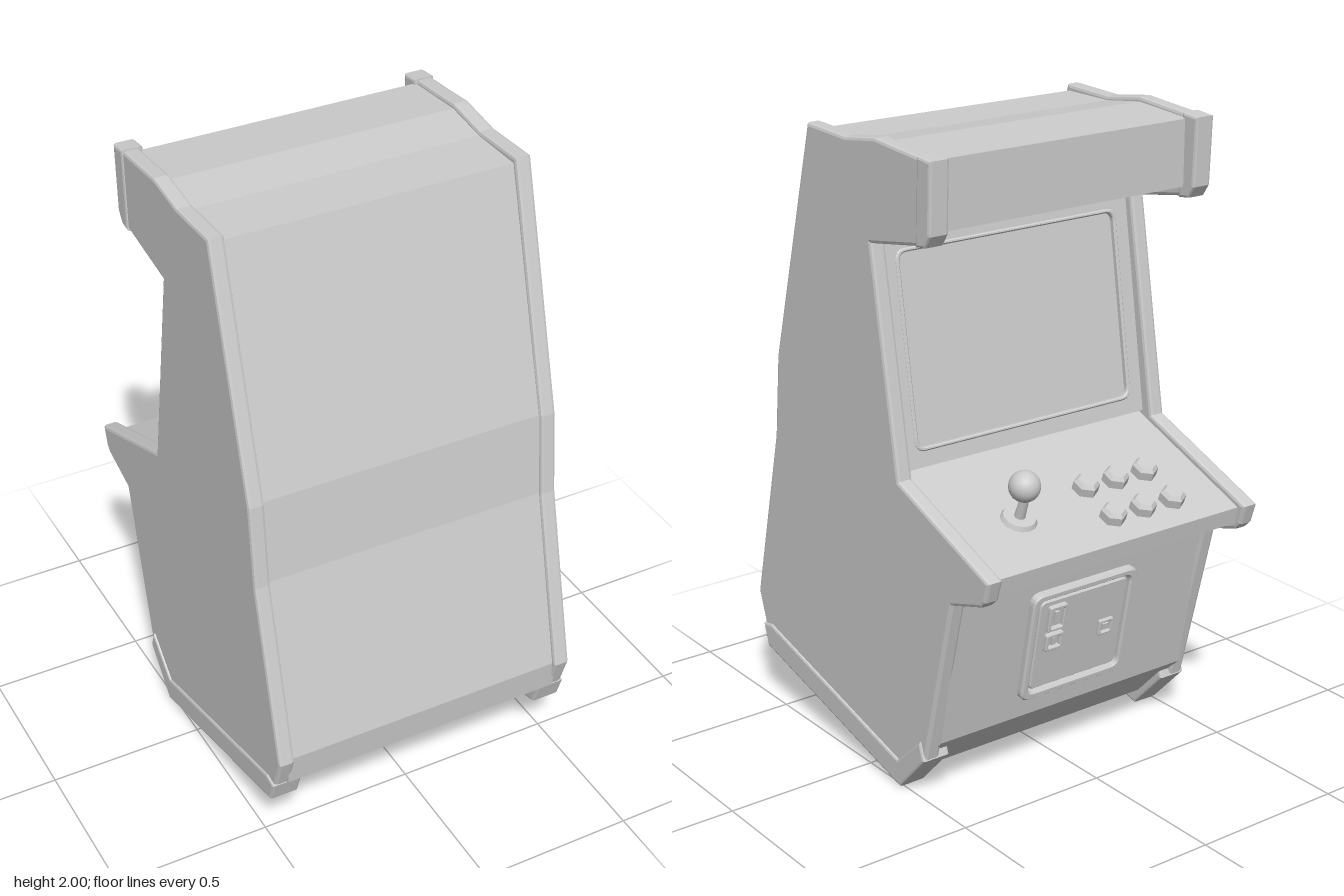
import * as THREE from 'three';

const grey = new THREE.MeshStandardMaterial({ color: 0xcccccc });

function add(parent, name, geometry, x = 0, y = 0, z = 0) {
  const mesh = new THREE.Mesh(geometry, grey);
  mesh.name = name;
  mesh.position.set(x, y, z);
  parent.add(mesh);
  return mesh;
}

// Extrudes a [z, y] side profile across x, centred on x = 0
function slab(points, width, bevel) {
  const shape = new THREE.Shape(points.map(([z, y]) => new THREE.Vector2(z, y)));
  const depth = width - 2 * bevel;
  const geo = new THREE.ExtrudeGeometry(shape, {
    depth, bevelEnabled: bevel > 0, bevelSize: bevel, bevelThickness: bevel,
    bevelOffset: -bevel, bevelSegments: 2,
  });
  return geo.translate(0, 0, -depth / 2).rotateY(-Math.PI / 2);
}

// Group lying on a sloped face between two [z, y] points: +y runs up the slope, +z points outward
function slopeFrame(parent, name, low, high) {
  const group = new THREE.Group();
  group.name = name;
  const right = new THREE.Vector3(-1, 0, 0);
  const up = new THREE.Vector3(0, high[1] - low[1], high[0] - low[0]).normalize();
  const out = right.clone().cross(up);
  group.quaternion.setFromRotationMatrix(new THREE.Matrix4().makeBasis(right, up, out));
  group.position.set(0, (low[1] + high[1]) / 2, (low[0] + high[0]) / 2);
  parent.add(group);
  return group;
}

function roundRect(path, w, h, r) {
  const x = w / 2, y = h / 2;
  path.moveTo(-x + r, -y);
  path.lineTo(x - r, -y).quadraticCurveTo(x, -y, x, -y + r);
  path.lineTo(x, y - r).quadraticCurveTo(x, y, x - r, y);
  path.lineTo(-x + r, y).quadraticCurveTo(-x, y, -x, y - r);
  path.lineTo(-x, -y + r).quadraticCurveTo(-x, -y, -x + r, -y);
  return path;
}

// Rounded plate, with an optional rounded opening [w, h, r]
function plate(w, h, r, depth, bevel, hole) {
  const shape = roundRect(new THREE.Shape(), w, h, r);
  if (hole) shape.holes.push(roundRect(new THREE.Path(), ...hole));
  return new THREE.ExtrudeGeometry(shape, {
    depth: depth - bevel, bevelEnabled: bevel > 0, bevelSize: bevel,
    bevelThickness: bevel, bevelOffset: -bevel, bevelSegments: 1, curveSegments: 5,
  });
}

export function createModel() {
  const cabinet = new THREE.Group();
  cabinet.name = 'arcadeCabinet';

  // Side panels
  const panelProfile = [
    [0.25, 1.985], [0.05, 1.978], [-0.03, 1.99], [-0.1, 2], [-0.2, 1.992], [-0.37, 1.98],
    [-0.362, 1.77], [-0.34, 1.738], [-0.07, 1.69], [-0.19, 1], [-0.63, 0.83],
    [-0.61, 0.765], [-0.59, 0.745], [-0.45, 0.7], [-0.31, 0.14], [-0.18, 0],
    [0.57, 0.19], [0.63, 0.37], [0.49, 0.95], [0.462, 1.22],
  ];
  // Inner body, set slightly inside the panels
  const screenLow = [-0.13, 1], screenHigh = [-0.02, 1.7];
  const deckFront = [-0.6, 0.82];
  const doorLow = [-0.338, 0.2], doorHigh = [-0.435, 0.705];
  const bodyProfile = [
    [0.24, 1.965], [0.05, 1.965], [-0.1, 1.985], [-0.322, 1.97], [-0.322, 1.765],
    screenHigh, screenLow, deckFront, [-0.59, 0.765], [-0.565, 0.755],
    doorHigh, doorLow, [-0.2, 0.055], [0.575, 0.25], [0.605, 0.27],
    [0.615, 0.37], [0.478, 0.95], [0.45, 1.22],
  ];
  // Thick rail along the bottom of each panel
  const railProfile = [
    [0.573, 0.192], [0.598, 0.265], [0.55, 0.275], [-0.17, 0.09],
    [-0.29, 0.2], [-0.312, 0.14], [-0.182, 0.002],
  ];
  // Marquee end cap
  const capProfile = [
    [-0.31, 1.988], [-0.374, 1.982], [-0.366, 1.77], [-0.342, 1.734], [-0.3, 1.728],
  ];
  add(cabinet, 'body', slab(bodyProfile, 0.94, 0));
  for (const [side, s] of [['left', 1], ['right', -1]]) {
    add(cabinet, side + 'Panel', slab(panelProfile, 0.052, 0.01), s * 0.484);
    add(cabinet, side + 'BottomRail', slab(railProfile, 0.096, 0.008), s * 0.469);
    add(cabinet, side + 'MarqueeCap', slab(capProfile, 0.068, 0.008), s * 0.481);
  }

  // Screen surround with a rounded opening over the recessed glass
  const screen = slopeFrame(cabinet, 'screen', screenLow, screenHigh);
  add(screen, 'screenBezel', plate(0.93, 0.7, 0.004, 0.02, 0, [0.81, 0.59, 0.03]));
  add(screen, 'screenRim', plate(0.825, 0.605, 0.035, 0.025, 0.004, [0.8, 0.58, 0.028]));
  add(screen, 'screenGlass', plate(0.8, 0.58, 0.028, 0.008, 0));

  // Control deck: six hexagonal buttons and a joystick
  const deck = slopeFrame(cabinet, 'controlDeck', deckFront, screenLow);
  const slopeLength = Math.hypot(0.47, 0.18) / 0.47;
  const alongDeck = (z) => (z + 0.365) * slopeLength;
  const buttonProfile = [[0, 0.042], [0.03, 0.042], [0.041, 0.03], [0.041, 0]]
    .reverse().map(([r, h]) => new THREE.Vector2(r, h));
  const buttonGeo = new THREE.LatheGeometry(buttonProfile, 6).toNonIndexed().rotateX(Math.PI / 2);
  buttonGeo.computeVertexNormals();
  for (const z of [-0.375, -0.505]) {
    for (const x of [-0.27, -0.155, -0.04]) {
      add(deck, 'button', buttonGeo, -x, alongDeck(z), -0.003);
    }
  }
  const stick = new THREE.Group();
  stick.name = 'joystick';
  stick.position.set(-0.24, alongDeck(-0.415), 0);
  deck.add(stick);
  add(stick, 'joystickBase', new THREE.CylinderGeometry(0.05, 0.058, 0.016, 14).rotateX(Math.PI / 2), 0, 0, 0.006);
  add(stick, 'joystickShaft', new THREE.CylinderGeometry(0.013, 0.018, 0.1, 12).rotateX(Math.PI / 2), 0, 0, 0.05);
  add(stick, 'joystickBall', new THREE.SphereGeometry(0.048, 24, 16), 0, 0.015, 0.115);

  // Coin door
  const door = slopeFrame(cabinet, 'coinDoor', doorLow, doorHigh);
  add(door, 'doorFrame', plate(0.4, 0.38, 0.035, 0.024, 0.006, [0.35, 0.33, 0.025]), 0, 0.005, 0);
  add(door, 'doorLeaf', plate(0.335, 0.315, 0.02, 0.017, 0.004), 0, 0.005, 0);
  for (const [y, h] of [[0.1, 0.09], [0.015, 0.06]]) {
    add(door, 'coinSlotFrame', plate(0.066, h, 0.008, 0.018, 0.003, [0.042, h - 0.024, 0.004]), -0.105, y, 0.013);
    add(door, 'coinSlot', new THREE.BoxGeometry(0.014, h * 0.45, 0.014), -0.105, y, 0.018);
  }
  add(door, 'lockFrame', plate(0.055, 0.055, 0.006, 0.014, 0.003, [0.034, 0.034, 0.004]), 0.1, 0.005, 0.013);
  add(door, 'lock', new THREE.BoxGeometry(0.02, 0.02, 0.014), 0.1, 0.005, 0.017);

  return cabinet;
}
